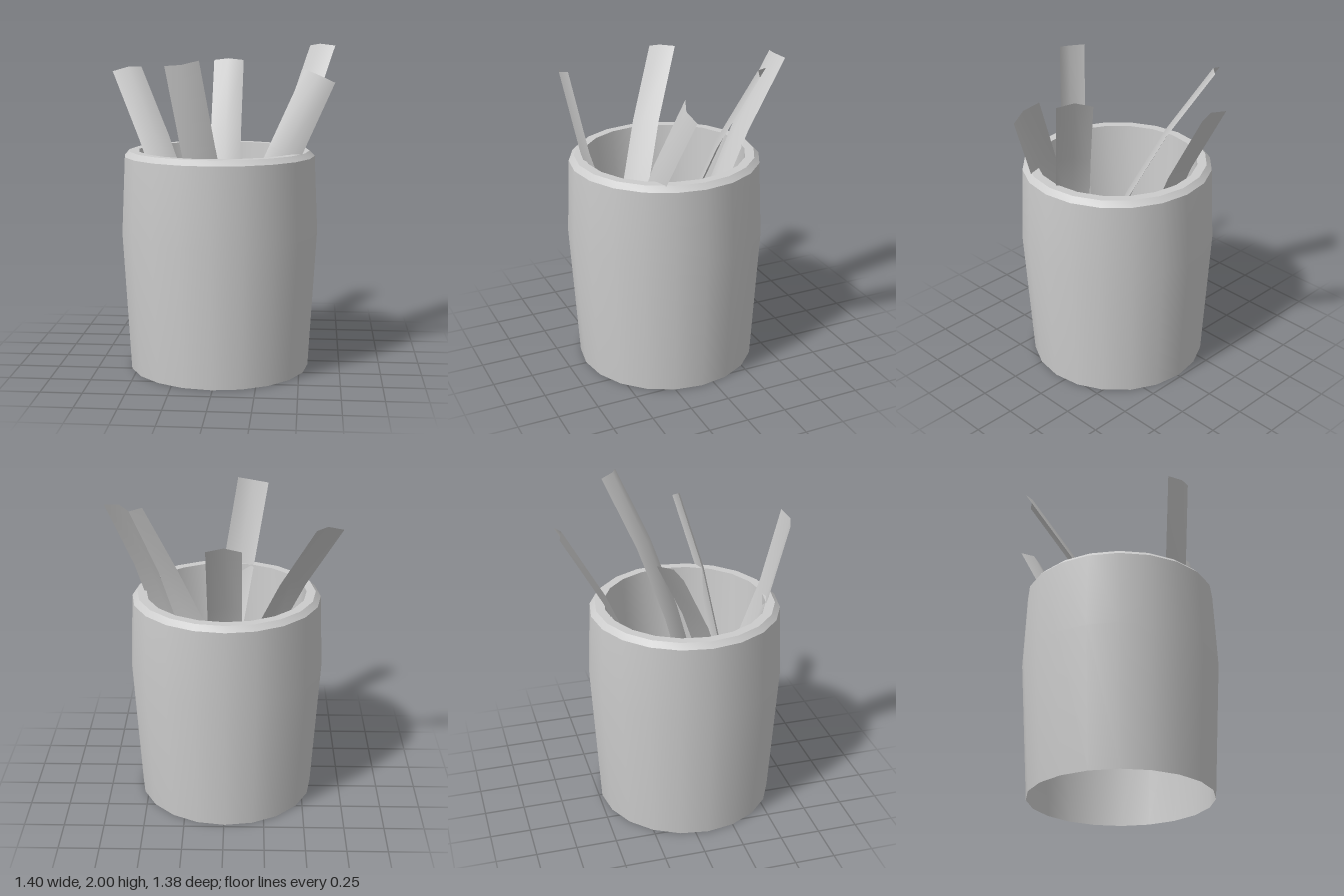
import * as THREE from 'three';
import { toCreasedNormals } from 'three/addons/utils/BufferGeometryUtils.js';

const material = new THREE.MeshStandardMaterial({ color: 0xcccccc, side: THREE.DoubleSide });

// Thin strip, bowed along its length and folded along its middle.
// bottom and top are the ends of its centre line, across runs from its left to its right edge.
function createStrip(name, bottom, top, across) {
  const start = new THREE.Vector3(...bottom);
  const along = new THREE.Vector3(...top).sub(start);
  const length = along.length();
  along.normalize();
  const side = new THREE.Vector3(...across);
  side.addScaledVector(along, -side.dot(along)).normalize();
  const normal = new THREE.Vector3().crossVectors(side, along);

  const geometry = new THREE.PlaneGeometry(0.2, length, 2, 3);
  geometry.translate(0, length / 2, 0);
  const pos = geometry.attributes.position;
  for (let i = 0; i < pos.count; i++) {
    const u = pos.getY(i) / length;
    const bow = 0.05 * 4.5 * u * (1 - u);
    const fold = 0.3 * Math.abs(pos.getX(i));
    pos.setZ(i, bow - fold);
  }
  geometry.applyMatrix4(new THREE.Matrix4().makeBasis(side, along, normal).setPosition(start));
  geometry.computeVertexNormals();

  const mesh = new THREE.Mesh(geometry, material);
  mesh.name = name;
  return mesh;
}

export function createModel() {
  const group = new THREE.Group();
  group.name = 'potWithStrips';

  // Pot: bulging outer wall, bevelled rim, tapering inner wall and raised floor, open underneath
  const profile = [
    [0.558, 0], [0.608, 0.86], [0.587, 1.325], [0.555, 1.357],
    [0.498, 1.357], [0.438, 0.39], [0, 0.39],
  ].map(([r, y]) => new THREE.Vector2(r, y));
  const pot = new THREE.Mesh(toCreasedNormals(new THREE.LatheGeometry(profile, 20), 0.6), material);
  pot.name = 'pot';
  pot.position.set(-0.006, 0, 0.078);
  group.add(pot);

  // Strips leaning on the rim
  group.add(
    createStrip('backStrip', [-0.005, 0.52, -0.065], [-0.005, 1.895, -0.665], [1, 0, 0]),
    createStrip('rightStrip', [-0.065, 0.53, 0.345], [-0.605, 1.855, -0.16], [0.16, 0.03, -0.105]),
    createStrip('leftStrip', [0.255, 0.635, 0.23], [0.605, 2, -0.22], [0.15, 0, 0.12]),
    createStrip('frontLeftStrip', [0, 0.46, 0.39], [0.605, 1.82, 0.22], [0.16, -0.1, 0.015]),
    createStrip('frontStrip', [0.08, 0.47, 0.28], [-0.17, 1.895, 0.68], [0.19, 0.035, 0.015]),
  );
  return group;
}
